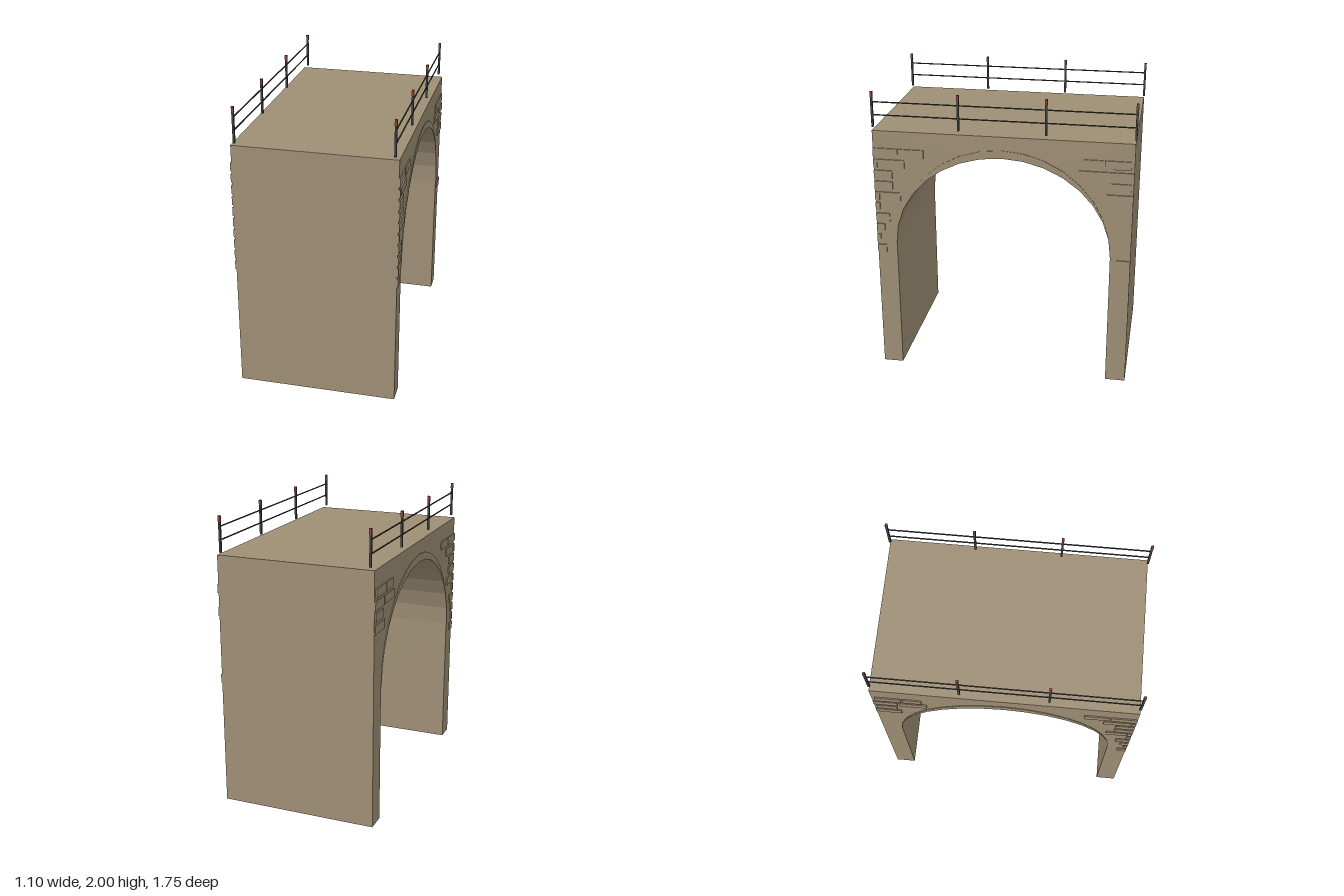
import * as THREE from 'three';

const HALF_W = 0.54, HALF_L = 0.866, DECK_Y = 1.742;
const SPRING_Y = 0.94, ARCH_A = 0.73, ARCH_B = 0.656, RING_B = 0.71, SEGMENTS = 16;

const material = (name, color) => {
  const m = new THREE.MeshStandardMaterial({ color });
  m.name = name;
  return m;
};

// Half-ellipse from the right springing point over to the left one
const archPoints = (b) => Array.from({ length: SEGMENTS + 1 }, (_, i) => {
  const t = (i / SEGMENTS) * Math.PI;
  return new THREE.Vector2(ARCH_A * Math.cos(t), SPRING_Y + b * Math.sin(t));
});

// Extrudes a side-on outline across the bridge, from x0 for the given depth
function extrudeAcross(points, x0, depth) {
  const g = new THREE.ExtrudeGeometry(new THREE.Shape(points), { depth, bevelEnabled: false });
  g.translate(0, 0, x0);
  g.rotateY(Math.PI / 2);
  return g;
}

// Brick courses, counted from the top: [course, z from, z to]
const FRONT_BRICKS = [
  [0, 0.697, 0.866], [0, 0.521, 0.686], [1, 0.84, 0.866], [1, 0.654, 0.83],
  [2, 0.74, 0.866], [3, 0.74, 0.866], [4, 0.835, 0.866], [4, 0.689, 0.827],
  [5, 0.835, 0.866], [6, 0.771, 0.866], [7, 0.808, 0.866], [8, 0.84, 0.866], [9, 0.803, 0.866],
];
const BACK_BRICKS = [
  [0, -0.665, -0.54], [0, -0.846, -0.675], [1, -0.694, -0.51], [1, -0.864, -0.705],
  [2, -0.85, -0.713], [3, -0.864, -0.69],
];
const LOW_BRICK = [9, -0.864, -0.776];

export function createModel() {
  const root = new THREE.Group();
  root.name = 'archBridge';
  const stone = material('stone', 0x9e8e75);
  const iron = material('darkIron', 0x3c3f3d);
  const red = material('redCap', 0x8c4238);

  const add = (parent, name, geometry, mat, x = 0, y = 0, z = 0) => {
    const mesh = new THREE.Mesh(geometry, mat);
    mesh.name = name;
    mesh.position.set(x, y, z);
    parent.add(mesh);
  };
  const box = (w, h, d) => new THREE.BoxGeometry(w, h, d);
  const v = (x, y) => new THREE.Vector2(x, y);

  // Solid bridge body with the arched passage
  const outline = [
    v(-HALF_L, 0), v(-ARCH_A, 0), ...archPoints(ARCH_B).reverse(),
    v(ARCH_A, 0), v(HALF_L, 0), v(HALF_L, DECK_Y), v(-HALF_L, DECK_Y),
  ];
  add(root, 'bridgeBody', extrudeAcross(outline, -HALF_W, HALF_W * 2), stone);

  // Crescent trim that tapers into the springing points
  const crescent = [...archPoints(RING_B), ...archPoints(ARCH_B).reverse().slice(1, -1)];

  for (const side of [1, -1]) {
    const face = new THREE.Group();
    face.name = side > 0 ? 'leftFace' : 'rightFace';
    root.add(face);
    add(face, 'archTrim', extrudeAcross(crescent, side > 0 ? HALF_W : -HALF_W - 0.004, 0.004), stone);

    // Raised bricks
    const bricks = [...FRONT_BRICKS, ...BACK_BRICKS];
    if (side > 0) bricks.push(LOW_BRICK);
    for (const [course, z0, z1] of bricks) {
      add(face, 'brick', box(0.012, 0.058, z1 - z0), stone,
        side * (HALF_W + 0.002), 1.593 - course * 0.0777, (z0 + z1) / 2);
    }

    // Railing: four capped posts and two thin rails
    const railing = new THREE.Group();
    railing.name = side > 0 ? 'leftRailing' : 'rightRailing';
    railing.position.x = side * 0.513;
    root.add(railing);
    for (let i = 0; i < 4; i++) {
      const z = 0.865 - i * (1.73 / 3);
      add(railing, 'post', box(0.014, 0.202, 0.014), iron, 0, 1.861, z);
      add(railing, 'postCap', box(0.016, 0.038, 0.016), red, 0, 1.981, z);
    }
    for (const y of [1.842, 1.93]) add(railing, 'rail', box(0.007, 0.007, 1.73), iron, 0, y, 0);
  }
  return root;
}
